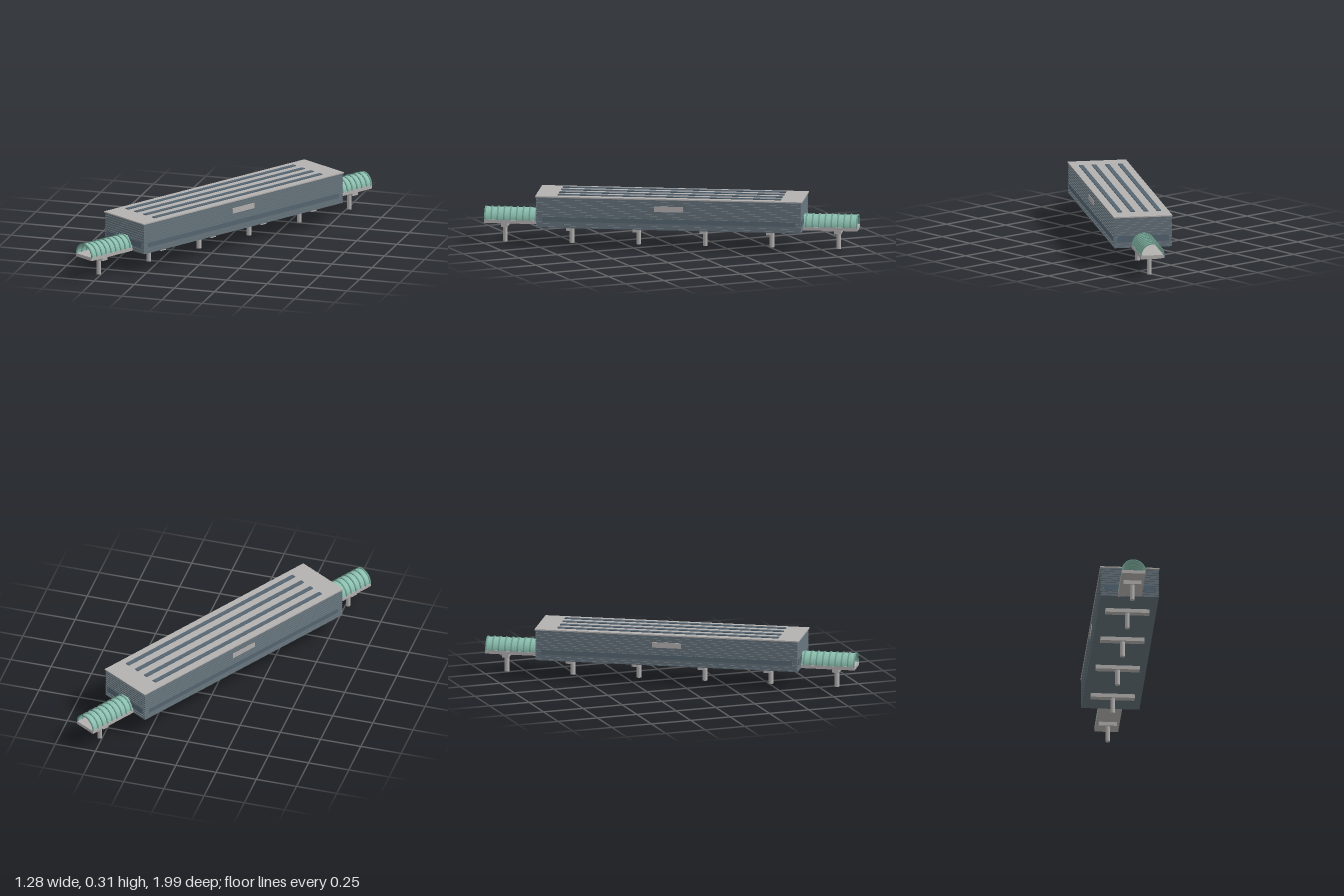
import * as THREE from 'three';

const mat = (name, color, side = THREE.FrontSide) => {
  const m = new THREE.MeshStandardMaterial({ color, side });
  m.name = name;
  return m;
};

export function createModel() {
  const wall = mat('slate wall', 0x65727a);
  const glass = mat('blue grey glass', 0x566672);
  const concrete = mat('concrete', 0xb3b1b0);
  const shellGreen = mat('tunnel green', 0x8cc0b0, THREE.DoubleSide);
  const ringGreen = mat('ring green', 0x6f9f90);

  const model = new THREE.Group();
  const station = new THREE.Group();
  station.name = 'station';
  station.rotation.y = -THREE.MathUtils.degToRad(31);
  model.add(station);

  const add = (name, geometry, material, x, y, z) => {
    const mesh = new THREE.Mesh(geometry, material);
    mesh.name = name;
    mesh.position.set(x, y, z);
    station.add(mesh);
    return mesh;
  };
  const box = (name, w, h, d, material, x, y, z) =>
    add(name, new THREE.BoxGeometry(w, h, d), material, x, y, z);

  // Hall with horizontal cladding ribs
  box('hallCore', 0.338, 0.185, 1.58, wall, 0, 0.2125, 0);
  const ribs = 13;
  for (let i = 0; i < ribs; i++) {
    box('claddingRib', 0.348, 0.009, 1.59, wall, 0, 0.1245 + i * 0.0144, 0);
  }

  // Roof slab and skylight strips
  box('roof', 0.354, 0.007, 1.6, concrete, 0, 0.3065, 0);
  for (const x of [-0.118, -0.04, 0.04, 0.118]) {
    box('skylight', 0.026, 0.005, 1.34, glass, x, 0.3125, 0);
  }

  // Window bands and blank sign plates
  for (const s of [-1, 1]) {
    box('sideWindow', 0.006, 0.028, 1.52, glass, s * 0.1725, 0.172, 0);
    box('signPlate', 0.006, 0.033, 0.175, concrete, s * 0.1732, 0.247, 0);
    box('endWindow', 0.31, 0.038, 0.006, glass, 0, 0.174, s * 0.795);
  }

  // Cross-section of a tunnel ring
  const arch = new THREE.Shape();
  arch.absarc(0, 0, 0.072, 0, Math.PI, false);
  arch.absarc(0, 0, 0.065, Math.PI, 0, true);
  const ringGeo = new THREE.ExtrudeGeometry(arch, { depth: 0.008, bevelEnabled: false, curveSegments: 20 });
  ringGeo.translate(0, 0, -0.004);

  // Half-round shell lying along z
  const shellGeo = new THREE.CylinderGeometry(0.067, 0.067, 0.33, 24, 1, true, -Math.PI / 2, Math.PI);
  shellGeo.rotateX(-Math.PI / 2);
  shellGeo.computeBoundingBox();
  if (shellGeo.boundingBox.max.y < 0.01) shellGeo.rotateZ(Math.PI);

  // Approach tunnel at each end
  for (const s of [-1, 1]) {
    box('tunnelDeck', 0.142, 0.02, 0.34, concrete, 0, 0.13, s * 0.95);
    add('tunnelShell', shellGeo, shellGreen, 0, 0.14, s * 0.953);
    for (let i = 0; i < 9; i++) {
      add('tunnelRing', ringGeo, ringGreen, 0, 0.14, s * (1.115 - i * 0.038));
    }
  }

  // Pillars with cross beams
  for (const z of [-1, -0.6, -0.2, 0.2, 0.6, 1]) {
    const width = Math.abs(z) === 1 ? 0.108 : 0.263;
    box('crossBeam', width, 0.024, 0.041, concrete, 0, 0.108, z);
    add('pillar', new THREE.CylinderGeometry(0.014, 0.014, 0.1, 16), concrete, 0, 0.05, z);
  }

  return model;
}
